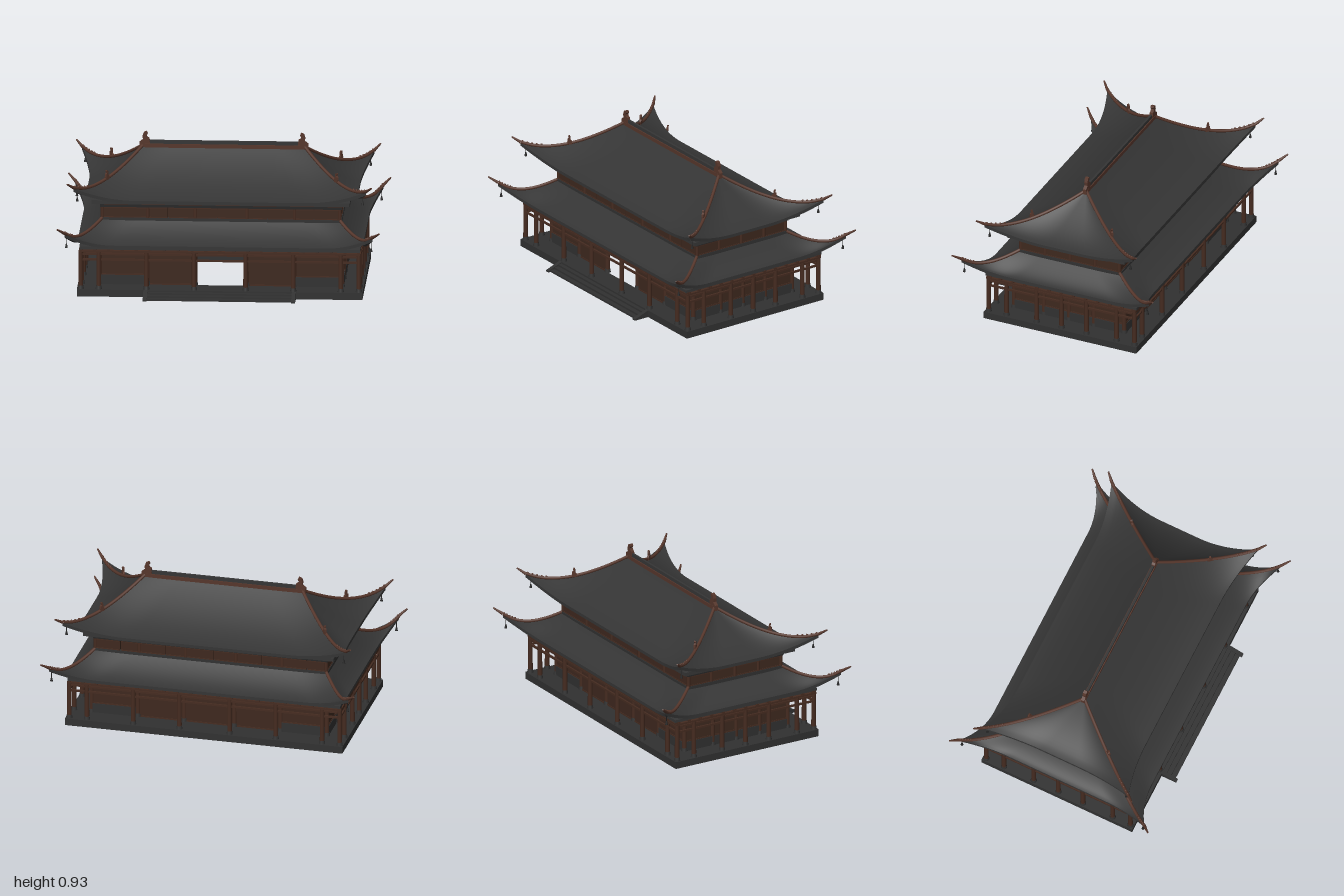
import * as THREE from 'three';

const mat = (name, color) => {
  const m = new THREE.MeshStandardMaterial({ color });
  m.name = name;
  return m;
};

export function createModel() {
  const tile = mat('roofTile', 0x353535);
  const stone = mat('stone', 0x313131);
  const wood = mat('wood', 0x452b20);
  const panelWood = mat('panelWood', 0x3e281e);
  const ridgeWood = mat('ridgeWood', 0x56362b);
  const iron = mat('iron', 0x262626);

  const model = new THREE.Group();
  model.name = 'hall';

  const add = (name, geo, material, x = 0, y = 0, z = 0) => {
    const m = new THREE.Mesh(geo, material);
    m.name = name;
    m.position.set(x, y, z);
    model.add(m);
    return m;
  };
  // box given by centre x, z and its bottom and top
  const box = (name, material, x, z, w, d, y0, y1) =>
    add(name, new THREE.BoxGeometry(w, y1 - y0, d), material, x, (y0 + y1) / 2, z);
  // four bars around a rectangle
  const frame = (name, material, hx, hz, t, y0, y1) => {
    for (const s of [-1, 1]) {
      box(name, material, 0, s * hz, 2 * hx + t, t, y0, y1);
      box(name, material, s * hx, 0, t, 2 * hz - t, y0, y1);
    }
  };
  // flat outline given thickness, centred on z = 0
  const plate = (points, depth) => new THREE.ExtrudeGeometry(
    new THREE.Shape(points.map(p => new THREE.Vector2(...p))), { depth, bevelEnabled: false }).translate(0, 0, -depth / 2);

  // platform: a hollow ring around the hall
  for (const s of [-1, 1]) {
    box('platform', stone, 0, s * 0.45, 1.77, 0.14, 0, 0.045);
    box('platform', stone, s * 0.82, 0, 0.13, 0.76, 0, 0.045);
  }

  // front steps with sloping cheeks
  for (let i = 0; i < 3; i++) box('step', stone, 0, 0.515 + 0.015 * (3 - i), 0.9, 0.03 * (3 - i), i * 0.0115, (i + 1) * 0.0115);
  const cheekGeo = plate([[0, 0], [0.1, 0], [0.1, 0.008], [0, 0.045]], 0.025);
  for (const x of [-0.46, 0.46]) add('stepCheek', cheekGeo, stone, x, 0, 0.52).rotation.y = -Math.PI / 2;

  // columns with stone bases
  const column = (x, z) => {
    add('column', new THREE.CylinderGeometry(0.014, 0.015, 0.235, 12), wood, x, 0.1625, z);
    add('columnBase', new THREE.CylinderGeometry(0.016, 0.02, 0.022, 12), stone, x, 0.056, z);
  };
  const gridX = [-0.75, -0.455, -0.16, 0.16, 0.455, 0.75];
  const gridZ = [-0.375, -0.17, 0, 0.17, 0.375];
  for (const s of [-1, 1]) {
    for (const x of gridX) { column(x, s * 0.497); column(x, s * 0.375); }
    for (const z of gridZ) column(s * 0.862, z);
    for (const z of gridZ.slice(1, -1)) column(s * 0.75, z);
    for (const t of [-1, 1]) column(s * 0.862, t * 0.497);
  }

  // tie beams of the colonnade and the hall
  frame('lowerBeam', wood, 0.862, 0.497, 0.011, 0.226, 0.238);
  frame('upperBeam', wood, 0.862, 0.497, 0.014, 0.262, 0.274);
  frame('plateBeam', wood, 0.862, 0.497, 0.024, 0.28, 0.292);
  frame('eavePurlin', tile, 0.845, 0.49, 0.05, 0.3, 0.318);
  frame('hallBeam', wood, 0.75, 0.375, 0.022, 0.25, 0.262);
  frame('hallTopWall', panelWood, 0.75, 0.375, 0.012, 0.272, 0.4);
  for (const s of [-1, 1]) for (const x of gridX) box('crossBeam', wood, x, s * 0.436, 0.012, 0.12, 0.255, 0.27);
  for (const s of [-1, 1]) for (const z of gridZ) box('crossBeam', wood, s * 0.806, z, 0.11, 0.012, 0.255, 0.27);

  // wall bay on the line at offset o, running from a to b
  const bay = (alongX, o, a, b, y0, y1, dado) => {
    const c = (a + b) / 2, w = b - a;
    const put = (name, m, len, t, lo, hi) => alongX
      ? box(name, m, c, o, len, t, lo, hi) : box(name, m, o, c, t, len, lo, hi);
    if (dado) put('dado', stone, w, 0.024, y0, y0 + 0.06);
    const base = dado ? y0 + 0.06 : y0;
    put('wallPanel', panelWood, w, 0.01, base, y1);
    put('panelRail', wood, w, 0.016, base, base + 0.008);
    put('panelRail', wood, w, 0.016, y1 - 0.008, y1);
  };
  for (const s of [-1, 1]) {
    for (let i = 0; i < 5; i++) {
      if (s > 0 && i === 2) continue; // open doorway
      bay(true, s * 0.375, gridX[i], gridX[i + 1], 0.045, 0.25, i === 0 || i === 4);
    }
    for (let i = 0; i < 4; i++) bay(false, s * 0.75, gridZ[i], gridZ[i + 1], 0.045, 0.25, true);
  }

  // upper storey
  const upX = [-0.735, -0.455, -0.16, 0.16, 0.455, 0.735], upZ = [-0.335, -0.17, 0, 0.17, 0.335];
  const upPost = (x, z) => add('upperPost', new THREE.CylinderGeometry(0.012, 0.012, 0.18, 10), wood, x, 0.48, z);
  frame('upperSill', stone, 0.735, 0.335, 0.024, 0.4, 0.462);
  frame('upperLintel', iron, 0.735, 0.335, 0.028, 0.53, 0.548);
  frame('upperPlate', wood, 0.735, 0.335, 0.04, 0.548, 0.562);
  frame('upperPurlin', tile, 0.76, 0.36, 0.08, 0.562, 0.585);
  for (const s of [-1, 1]) {
    upX.forEach(x => upPost(x, s * 0.335));
    upZ.slice(1, -1).forEach(z => upPost(s * 0.735, z));
    for (let i = 0; i < 5; i++) {
      // a narrow open slit is left in each long bay
      const a = upX[i], b = upX[i + 1], m = a + (b - a) * 0.42;
      bay(true, s * 0.335, a, m, 0.46, 0.53, false);
      bay(true, s * 0.335, m + 0.007, b, 0.46, 0.53, false);
    }
    for (let i = 0; i < 4; i++) bay(false, s * 0.735, upZ[i], upZ[i + 1], 0.46, 0.53, false);
  }

  // bracket blocks on the colonnade beam
  for (const s of [-1, 1]) {
    for (let i = 0; i <= 20; i++) box('bracket', wood, 0.862 * (i / 10 - 1), s * 0.493, 0.02, 0.03, 0.29, 0.302);
    for (let i = 1; i < 12; i++) box('bracket', wood, s * 0.858, 0.497 * (i / 6 - 1), 0.03, 0.02, 0.29, 0.302);
  }

  // surface from a rule f(v, u), v downward 0..1 and u across -1..1
  const surface = (rows, cols, f) => {
    const pos = [], idx = [];
    for (let i = 0; i <= rows; i++) for (let j = 0; j <= cols; j++) pos.push(...f(i / rows, 2 * j / cols - 1));
    for (let i = 0; i < rows; i++) for (let j = 0; j < cols; j++) {
      const a = i * (cols + 1) + j, b = a + cols + 1;
      idx.push(a, b, a + 1, a + 1, b, b + 1);
    }
    const g = new THREE.BufferGeometry();
    g.setAttribute('position', new THREE.Float32BufferAttribute(pos, 3));
    g.setIndex(idx);
    g.computeVertexNormals();
    return g;
  };

  // hipped roof with concave slopes and upswept corners
  const roof = (name, r) => {
    const height = (s, g) => r.ty + (r.ey - r.ty) * (1 - (1 - s) ** 1.5) + r.lift * g * s ** 3;
    const slope = (tw, td, ew, ed, cd, turn) => {
      const f = (s, u) => {
        const g = (Math.max(0, Math.abs(u) * ew - ew + r.flare) / r.flare) ** 2;
        return [u * (tw + (ew - tw) * s), height(s, g), td + (ed + (cd - ed) * g - td) * s];
      };
      const low = (s, u) => { const p = f(s, u); p[1] -= 0.02; return p; };
      const faces = [['Tiles', surface(14, 48, f)], ['Soffit', surface(14, 48, (s, u) => low(s, -u))],
        ['Eave', surface(1, 48, (v, u) => (v ? low : f)(1, u))]];
      for (const [part, geo] of faces) add(name + part, geo, tile).rotation.y = turn;
    };
    for (const t of [0, Math.PI]) {
      slope(r.tx, r.tz, r.cx, r.ez, r.cz, t);
      slope(r.tz, r.tx, r.cz, r.ex, r.cx, t + Math.PI / 2);
    }
    // hip ridges, rising to a pointed tip with small crest beads
    for (const sx of [-1, 1]) for (const sz of [-1, 1]) {
      const at = (s, dy) => new THREE.Vector3(sx * (r.tx + (r.cx - r.tx) * s), height(s, 1) + dy, sz * (r.tz + (r.cz - r.tz) * s));
      const pts = [0, 0.15, 0.3, 0.45, 0.6, 0.75, 0.88, 1].map(s => at(s, 0.005));
      const tip = new THREE.Vector3(sx * r.tip[0], r.tip[1], sz * r.tip[2]);
      add(name + 'HipRidge', new THREE.TubeGeometry(new THREE.CatmullRomCurve3(pts), 28, 0.01, 8), ridgeWood);
      const dir = tip.clone().sub(pts[7]);
      const cone = add(name + 'HipTip', new THREE.CylinderGeometry(0.005, 0.01, dir.length(), 8), ridgeWood);
      cone.position.copy(pts[7]).addScaledVector(dir, 0.5);
      cone.quaternion.setFromUnitVectors(new THREE.Vector3(0, 1, 0), dir.normalize());
      for (let i = 0; i < 5; i++) {
        const p = at(0.8 + i * 0.045, 0.015);
        add(name + 'HipBead', new THREE.SphereGeometry(0.007, 8, 6), ridgeWood, p.x, p.y, p.z);
      }
      // hanging bell
      const b = at(0.95, -0.02);
      add(name + 'BellCord', new THREE.CylinderGeometry(0.002, 0.002, 0.04, 6), iron, b.x, b.y - 0.015, b.z);
      add(name + 'Bell', new THREE.CylinderGeometry(0.004, 0.009, 0.024, 10), iron, b.x, b.y - 0.045, b.z);
    }
  };
  roof('lowerRoof', { tx: 0.735, tz: 0.335, ty: 0.455, ex: 0.885, ez: 0.543, ey: 0.333, cx: 0.955, cz: 0.64, lift: 0.095, flare: 0.3, tip: [0.998, 0.468, 0.684] });
  roof('upperRoof', { tx: 0.5, tz: 0, ty: 0.835, ex: 0.84, ez: 0.435, ey: 0.593, cx: 0.905, cz: 0.505, lift: 0.092, flare: 0.38, tip: [0.943, 0.722, 0.545] });

  // main ridge
  box('ridgeBase', ridgeWood, 0, 0, 1.0, 0.026, 0.82, 0.848);
  box('ridgeCap', tile, 0, 0, 0.96, 0.014, 0.848, 0.87);

  // curled ridge ends and small hip figures
  const curlGeo = plate([[-0.032, 0], [0.03, 0], [0.034, 0.03], [0.03, 0.06], [0.016, 0.068], [0.012, 0.078],
    [0.02, 0.09], [0.014, 0.104], [-0.004, 0.098], [-0.012, 0.075], [-0.01, 0.052], [-0.032, 0.035]], 0.022);
  for (const s of [-1, 1]) {
    add('ridgeEnd', curlGeo, ridgeWood, s * 0.492, 0.822, 0).rotation.y = s > 0 ? Math.PI : 0;
    for (const t of [-1, 1]) {
      const figure = add('hipFigure', curlGeo, ridgeWood, s * 0.71, 0.685, t * 0.27);
      figure.scale.set(0.45, 0.58, 0.6);
      figure.rotation.y = Math.atan2(-t * 0.505, s * 0.405);
    }
  }
  return model;
}
